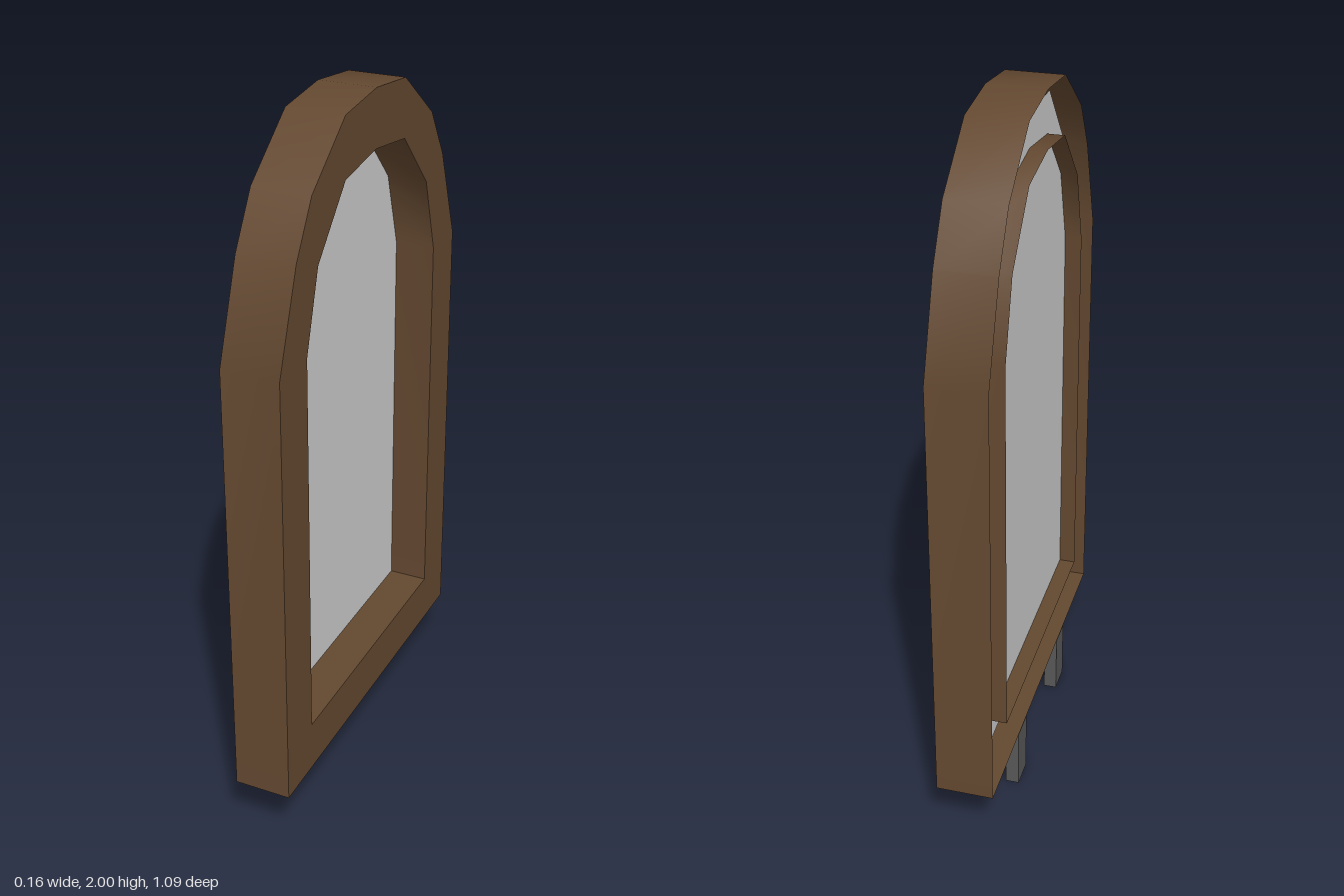
import * as THREE from 'three';

// Half profiles as [z, y], from the bottom corner up to the crown
const OUTER = [[0.545, 0.19], [0.545, 1.44], [0.45, 1.70], [0.365, 1.84], [0.18, 1.98], [0, 2]];
const INNER = [[0.40, 0.335], [0.40, 1.44], [0.335, 1.655], [0.18, 1.82], [0, 1.845]];
const PANE = [[0.47, 0.262], [0.47, 1.44], [0.40, 1.70], [0.2, 1.93], [0, 1.935]];

const HALF_DEPTH = 0.08;

// Mirror a half profile into a full arch, from one bottom corner to the other
function arch(half) {
  return [...half, ...half.slice(0, -1).reverse().map(([z, y]) => [-z, y])];
}

function toVectors(half) {
  return arch(half).map(([z, y]) => new THREE.Vector2(z, y));
}

// Sheet running along a path, spanning the frame's depth in x
function wall(path) {
  const pos = [], idx = [];
  path.forEach(([z, y], i) => {
    pos.push(HALF_DEPTH, y, z, -HALF_DEPTH, y, z);
    if (i > 0) {
      const a = 2 * (i - 1);
      idx.push(a, a + 2, a + 1, a + 1, a + 2, a + 3);
    }
  });
  const geo = new THREE.BufferGeometry();
  geo.setAttribute('position', new THREE.Float32BufferAttribute(pos, 3));
  geo.setIndex(idx);
  geo.computeVertexNormals();
  return geo;
}

// Flat arch facing +x
function plate(half, holeHalf, x) {
  const shape = new THREE.Shape(toVectors(half));
  if (holeHalf) shape.holes.push(new THREE.Path(toVectors(holeHalf)));
  return new THREE.ShapeGeometry(shape).rotateY(Math.PI / 2).translate(x, 0, 0);
}

export function createModel() {
  const wood = new THREE.MeshStandardMaterial({ color: 0x634830, side: THREE.DoubleSide });
  wood.name = 'brown wood';
  const glass = new THREE.MeshStandardMaterial({ color: 0xcccccc, side: THREE.DoubleSide });
  glass.name = 'pale glass';
  const metal = new THREE.MeshStandardMaterial({ color: 0x585858 });
  metal.name = 'grey metal';

  const model = new THREE.Group();
  model.name = 'archedWindow';
  const add = (name, geo, mat, parent = model) => {
    const mesh = new THREE.Mesh(geo, mat);
    mesh.name = name;
    parent.add(mesh);
    return mesh;
  };

  // Hollow frame, open at the back: face, outer rim and inner tube
  const frame = new THREE.Group();
  frame.name = 'frame';
  model.add(frame);
  add('frameFace', plate(OUTER, INNER, HALF_DEPTH), wood, frame);
  for (const [name, half] of [['outerRim', OUTER], ['innerRim', INNER]]) {
    const [z, y] = half[0];
    add(name, wall(arch(half)), wood, frame);
    add(name + 'Sill', wall([[-z, y], [z, y]]), wood, frame);
  }

  // Pane set into the frame
  add('pane', plate(PANE, null, -0.033), glass);

  // Two L-shaped brackets below the frame
  for (const side of [1, -1]) {
    const bracket = new THREE.Group();
    bracket.name = side > 0 ? 'frontBracket' : 'rearBracket';
    bracket.position.z = side * 0.225;
    model.add(bracket);
    add('bracketPlate', new THREE.BoxGeometry(0.095, 0.026, 0.085), metal, bracket)
      .position.set(0.0075, 0.176, 0);
    add('bracketLeg', new THREE.BoxGeometry(0.038, 0.189, 0.085), metal, bracket)
      .position.set(-0.059, 0.0945, 0);
  }
  return model;
}
